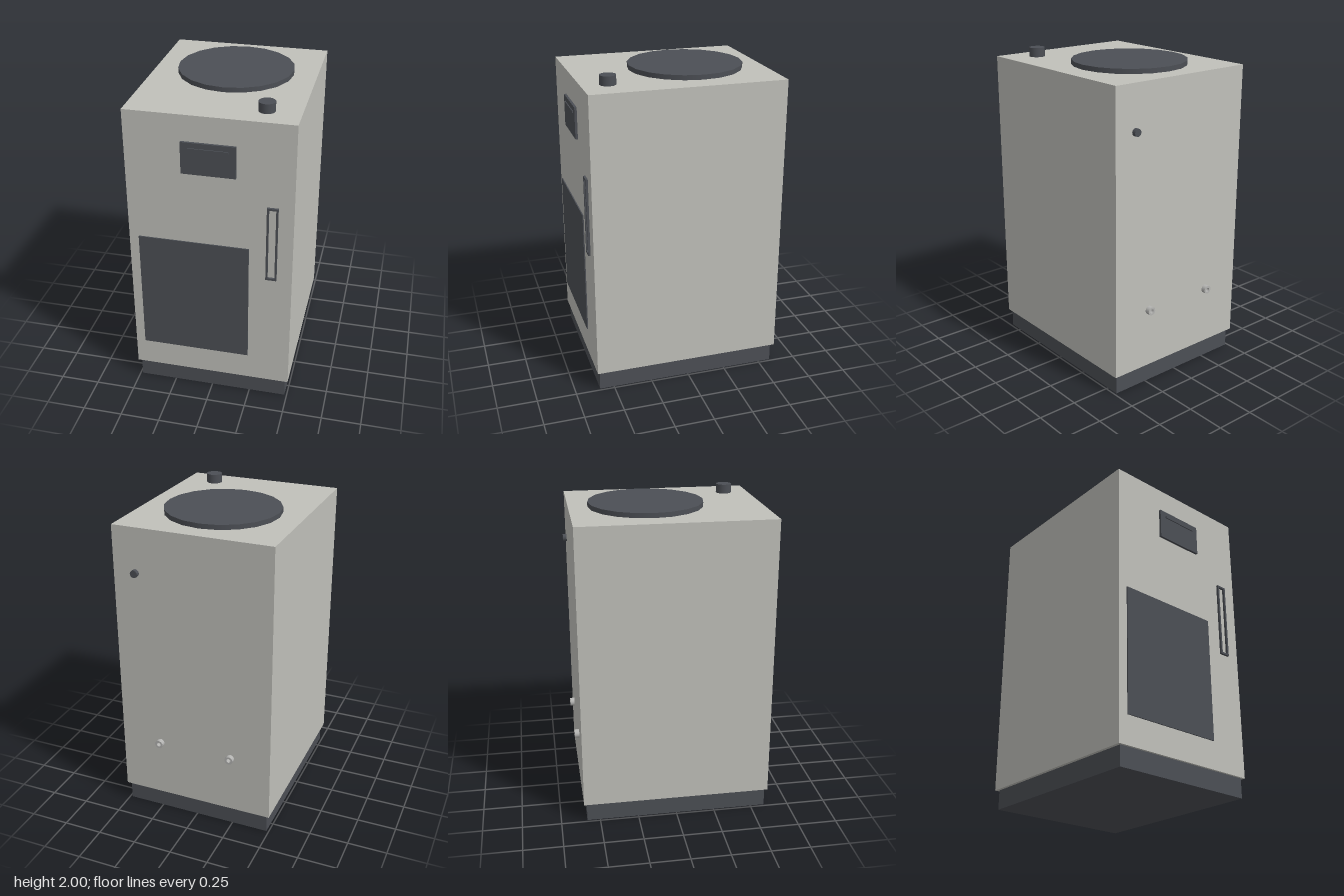
import * as THREE from 'three';

export function createModel() {
  const model = new THREE.Group();
  const mat = (name, color) => {
    const m = new THREE.MeshStandardMaterial({ color });
    m.name = name;
    return m;
  };
  const casing = mat('warm grey casing', 0xc0c0ba);
  const dark = mat('dark slate', 0x4c4f55);
  const metal = mat('pipe metal', 0xb4b4b2);

  const add = (name, geometry, material) => {
    const mesh = new THREE.Mesh(geometry, material);
    mesh.name = name;
    model.add(mesh);
    return mesh;
  };
  // Box given by its lower and upper limits on each axis
  const box = (name, material, [x0, x1], [y0, y1], [z0, z1]) =>
    add(name, new THREE.BoxGeometry(x1 - x0, y1 - y0, z1 - z0), material)
      .position.set((x0 + x1) / 2, (y0 + y1) / 2, (z0 + z1) / 2);

  // Cabinet on a recessed plinth
  box('plinth', dark, [-0.485, 0.485], [0, 0.125], [-0.583, 0.592]);
  box('cabinet', casing, [-0.505, 0.505], [0.125, 1.942], [-0.602, 0.607]);

  // Front: door panel, control panel and its narrow raised strip
  const face = 0.607;
  box('doorPanel', dark, [-0.445, 0.24], [0.305, 1.112], [face, 0.614]);
  box('controlPanel', dark, [-0.163, 0.162], [1.58, 1.78], [face, 0.622]);
  box('controlStrip', dark, [-0.12, 0.12], [1.735, 1.747], [0.622, 0.628]);

  // Handle: thin upright rectangular frame
  const rect = (shape, x0, x1, y0, y1) => shape
    .moveTo(x0, y0).lineTo(x1, y0).lineTo(x1, y1).lineTo(x0, y1).closePath();
  const frame = new THREE.Shape();
  rect(frame, 0.345, 0.412, 0.915, 1.412);
  const opening = new THREE.Path();
  rect(opening, 0.357, 0.4, 0.928, 1.399);
  frame.holes.push(opening);
  add('doorHandle', new THREE.ExtrudeGeometry(frame, { depth: 0.014, bevelEnabled: false }), dark)
    .position.z = face;

  // Top: round lid and flue stub
  add('lid', new THREE.CylinderGeometry(0.362, 0.362, 0.03, 20), dark)
    .position.set(0, 1.957, -0.12);
  add('topStub', new THREE.CylinderGeometry(0.05, 0.05, 0.06, 20), dark)
    .position.set(0.302, 1.97, 0.446);

  // Back: two hollow pipe connections and a cable gland
  const profile = [[0.027, 0], [0.027, 0.03], [0.027, 0.03], [0.014, 0.03], [0.014, 0.03], [0.014, 0.004], [0, 0.004]]
    .map(([r, y]) => new THREE.Vector2(r, y));
  for (const side of [-1, 1]) {
    const pipe = add('pipeConnection', new THREE.LatheGeometry(profile, 16), metal);
    pipe.material.side = THREE.DoubleSide;
    pipe.rotation.x = -Math.PI / 2;
    pipe.position.set(side * 0.241, 0.508, -0.601);
  }
  const gland = add('cableGland', new THREE.CylinderGeometry(0.024, 0.024, 0.025, 12), dark);
  gland.rotation.x = -Math.PI / 2;
  gland.position.set(0.361, 1.66, -0.614);

  return model;
}
